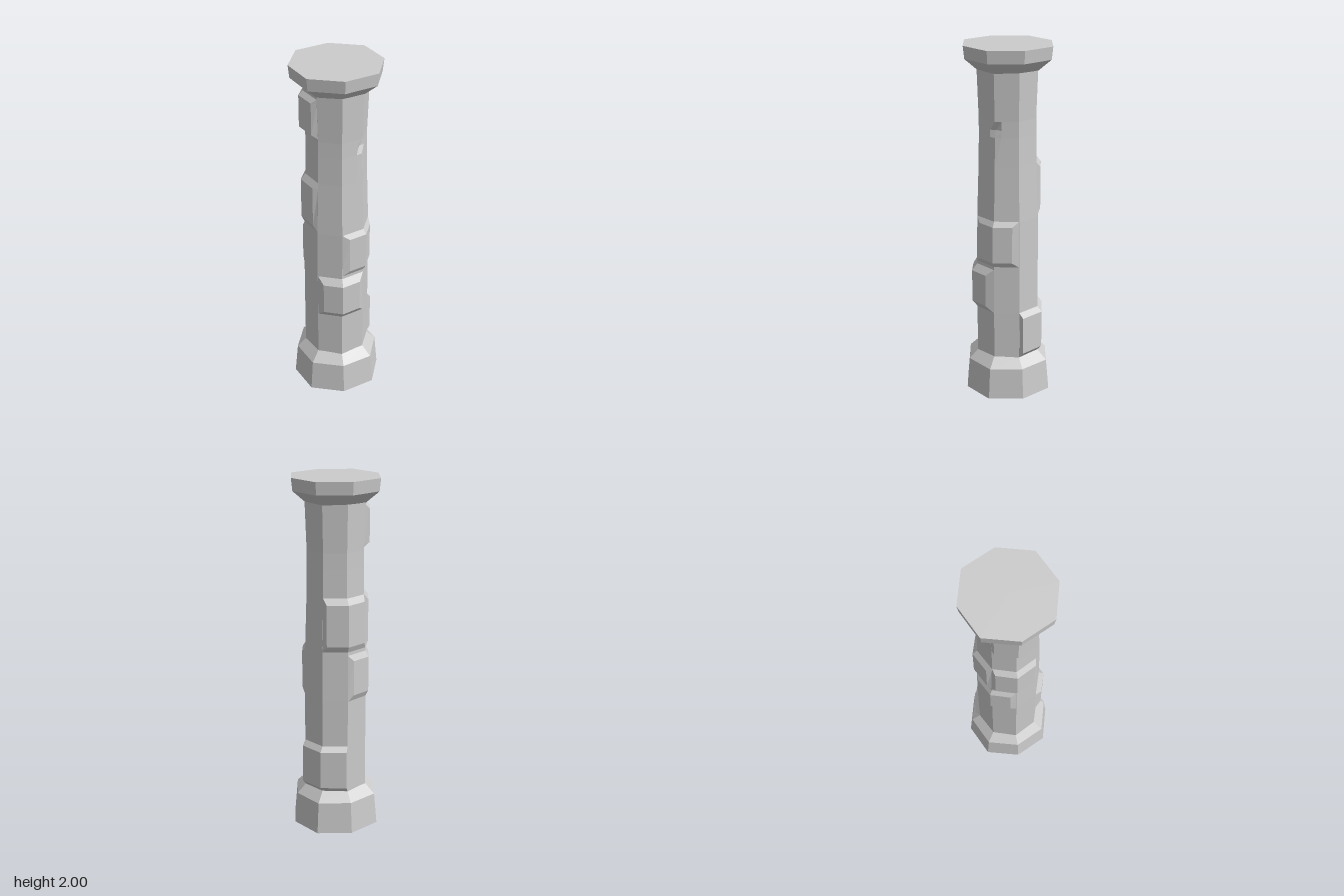
import * as THREE from 'three';

const material = new THREE.MeshStandardMaterial({ color: 0xcccccc, flatShading: true });

// Corner k of an octagon: 0 is the front, 2 is +x, 4 the back, 6 is -x
const corner = (k, r, y) => {
  const a = (k * Math.PI) / 4;
  return new THREE.Vector3(Math.sin(a) * r, y, Math.cos(a) * r);
};

// Skin between cross-sections, listed bottom to top, points running left to right
function loft(name, rows) {
  const pos = [];
  const tri = (a, b, c) => {
    const area = b.clone().sub(a).cross(c.clone().sub(a)).length();
    if (area > 1e-8) for (const p of [a, b, c]) pos.push(p.x, p.y, p.z);
  };
  for (let i = 0; i < rows.length - 1; i++) {
    for (let j = 0; j < rows[i].length - 1; j++) {
      const a = rows[i][j], b = rows[i][j + 1];
      const c = rows[i + 1][j + 1], d = rows[i + 1][j];
      tri(a, b, c);
      tri(a, c, d);
    }
  }
  const geometry = new THREE.BufferGeometry();
  geometry.setAttribute('position', new THREE.Float32BufferAttribute(pos, 3));
  geometry.computeVertexNormals();
  const mesh = new THREE.Mesh(geometry, material);
  mesh.name = name;
  return mesh;
}

// Closed octagon, diagonal corners slightly pulled in
const octagon = (r, y) =>
  Array.from({ length: 9 }, (_, k) => corner(k, k % 2 ? r * 0.967 : r, y));

// Shaft radius by height
const shaftProfile = [[0.2, 0.185], [0.5, 0.185], [0.78, 0.184], [1.05, 0.181], [1.36, 0.17],
  [1.52, 0.167], [1.56, 0.167], [1.61, 0.167], [1.89, 0.177]];
function shaftRadius(y) {
  for (let i = 1; i < shaftProfile.length; i++) {
    const [y0, r0] = shaftProfile[i - 1], [y1, r1] = shaftProfile[i];
    if (y <= y1) return THREE.MathUtils.mapLinear(y, y0, y1, r0, r1);
  }
  return 0.177;
}

// Shaft ring with two extra points beside the +x corner, where a chip is cut
function shaftRing([y, r]) {
  const ring = Array.from({ length: 9 }, (_, k) => corner(k, r, y));
  const edge = ring[2];
  const before = edge.clone().lerp(ring[1], 0.28);
  const after = edge.clone().lerp(ring[3], 0.28);
  if (y === 1.52) edge.x -= 0.003;
  if (y === 1.56) edge.x -= 0.022;
  ring.splice(2, 1, before, edge, after);
  return ring;
}

// Raised stone wrapped around corner k, with bevelled rims
function raisedStone(k, y0, y1, r, reach, bevel = 0.04) {
  const base = (y) => [-1, 0, 1].map((d) => corner(k + d, shaftRadius(y) - 0.001, y));
  const rim = (y) => {
    const [a, b, c] = base(y);
    return [a, a, b, c, c];
  };
  const face = (y) => {
    const [a, , c] = base(y);
    const mid = corner(k, r, y);
    const left = mid.clone().lerp(corner(k - 1, r, y), reach);
    const right = mid.clone().lerp(corner(k + 1, r, y), reach);
    return [a, left, mid, right, c];
  };
  return loft('raisedStone', [rim(y0), face(y0 + bevel), face(y1 - bevel), rim(y1)]);
}

export function createModel() {
  const group = new THREE.Group();
  group.name = 'stoneColumn';

  group.add(loft('base', [[0, 0], [0.26, 0], [0.243, 0.18], [0.187, 0.235], [0, 0.235]]
    .map(([r, y]) => octagon(r, y))));
  group.add(loft('shaft', shaftProfile.map(shaftRing)));
  group.add(loft('capital', [[0, 1.868], [0.178, 1.868], [0.252, 1.93], [0.26, 2], [0, 2]]
    .map(([r, y]) => octagon(r, y))));

  // corner, bottom, top, radius, reach towards the neighbouring corners, bevel
  const stones = [
    [1, 0.505, 0.77, 0.215, 0.68, 0.04],
    [2, 0.785, 1.055, 0.201, 0.7, 0.03],
    [4, 0.232, 0.51, 0.212, 0.9, 0.03],
    [5, 1.06, 1.365, 0.196, 0.8, 0.035],
    [6, 0.775, 1.045, 0.2, 0.75, 0.035],
    [7, 1.06, 1.365, 0.196, 0.8, 0.035],
    [7, 1.625, 1.855, 0.2, 0.8, 0.025],
  ];
  for (const s of stones) group.add(raisedStone(...s));
  return group;
}
